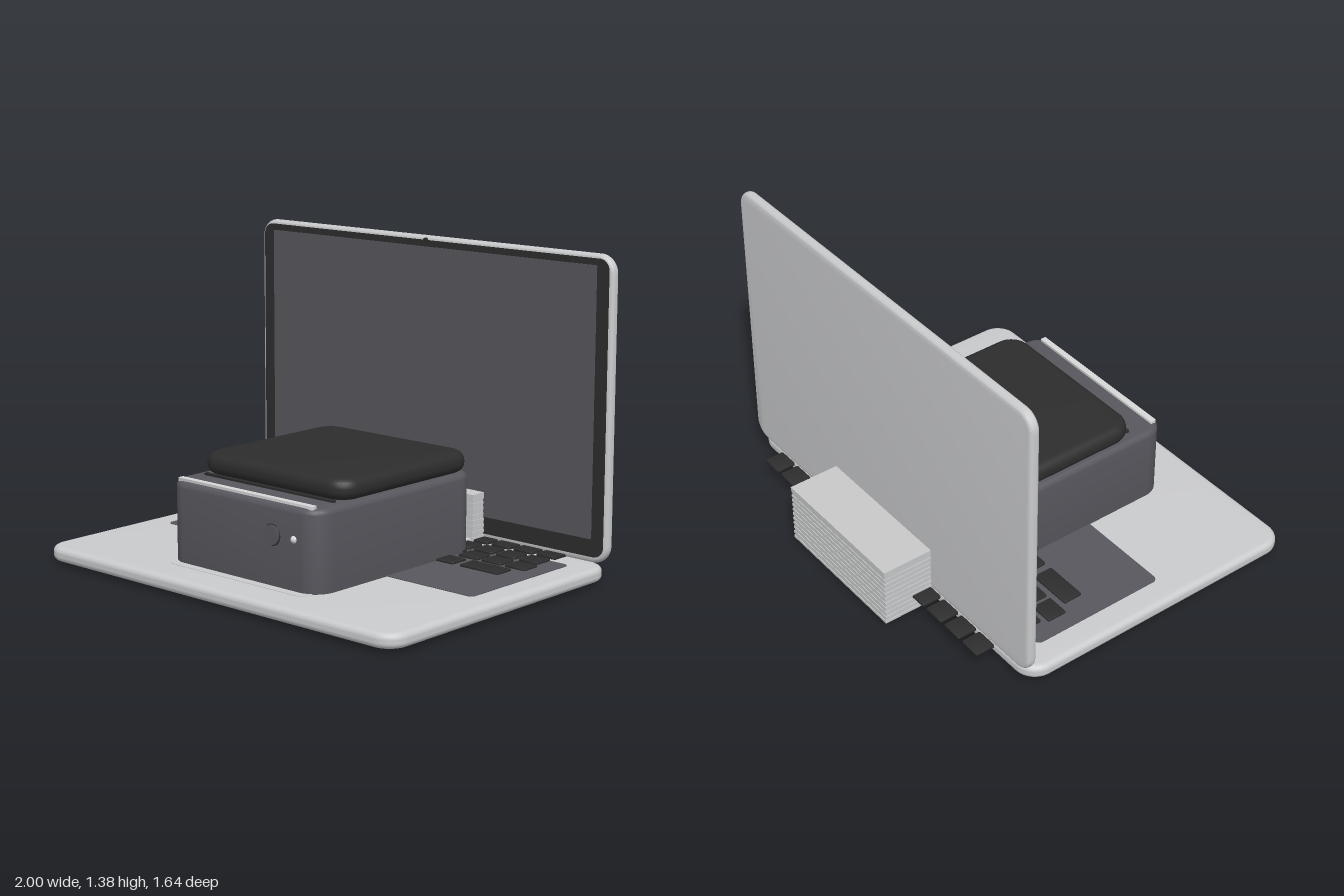
import * as THREE from 'three';
import { toCreasedNormals } from 'three/addons/utils/BufferGeometryUtils.js';

const mat = (name, color) => Object.assign(new THREE.MeshStandardMaterial({ color }), { name });

// Rounded rectangle outline centred on the origin
function roundedRect(w, h, r) {
  const s = new THREE.Shape();
  const x = w / 2, y = h / 2;
  s.absarc(x - r, y - r, r, 0, Math.PI / 2);
  s.absarc(-x + r, y - r, r, Math.PI / 2, Math.PI);
  s.absarc(-x + r, -y + r, r, Math.PI, Math.PI * 1.5);
  s.absarc(x - r, -y + r, r, Math.PI * 1.5, Math.PI * 2);
  s.closePath();
  return s;
}

// Slab of outline w x h and thickness t along z, with softened rims
function slab(w, h, t, r, bevel = 0) {
  const g = new THREE.ExtrudeGeometry(roundedRect(w - 2 * bevel, h - 2 * bevel, Math.max(r - bevel, 0.004)), {
    depth: t - 2 * bevel, curveSegments: 8, bevelEnabled: bevel > 0,
    bevelSize: bevel, bevelThickness: bevel, bevelSegments: 5,
  });
  g.translate(0, 0, bevel - t / 2);
  return toCreasedNormals(g, 0.6);
}

export function createModel() {
  const silver = mat('silver', 0xcacbcd);
  const grey = mat('slate grey', 0x58575e);
  const black = mat('soft black', 0x2d2d2d);
  const paper = mat('paper', 0xc8c9ca);
  const pale = mat('pale metal', 0xd6d7d8);

  const model = new THREE.Group();
  model.name = 'deskSet';
  const group = (name) => {
    const g = new THREE.Group();
    g.name = name;
    model.add(g);
    return g;
  };
  const add = (parent, name, geo, material, x, y, z) => {
    const m = new THREE.Mesh(geo, material);
    m.name = name;
    m.position.set(x, y, z);
    parent.add(m);
    return m;
  };
  // Horizontal slab given by its y range
  const flat = (parent, name, material, w, d, y0, y1, z, r, bevel = 0, x = 0) =>
    add(parent, name, slab(w, d, y1 - y0, r, bevel).rotateX(-Math.PI / 2), material, x, (y0 + y1) / 2, z);

  // Laptop base with keyboard tray, trackpad and feet
  const base = group('laptopBase');
  flat(base, 'baseShell', silver, 2, 1.395, 0.015, 0.078, 0.1225, 0.1, 0.025);
  flat(base, 'keyboardTray', grey, 1.76, 0.64, 0.076, 0.081, -0.12, 0.025);
  flat(base, 'trackpad', silver, 0.78, 0.42, 0.076, 0.08, 0.45, 0.04);
  for (const x of [-0.735, 0.735])
    for (const z of [0.59, -0.35]) {
      if (z < 0) continue;
      add(base, 'baseFoot', new THREE.CylinderGeometry(0.05, 0.055, 0.018, 24), black, x, 0.009, z);
    }

  // Keyboard rows: z centre, half width, key count
  const keys = group('keyboard');
  const key = (x0, x1, z) => flat(keys, 'key', black, x1 - x0, 0.092, 0.077, 0.09, z, 0.008, 0.003, (x0 + x1) / 2);
  for (const [z, half, n] of [[-0.635, 0.785, 13], [-0.515, 0.785, 13], [-0.395, 0.785, 13], [-0.28, 0.805, 13]]) {
    const gap = 0.02, w = (2 * half - gap * (n - 1)) / n;
    for (let i = 0; i < n; i++) {
      const x0 = -half + i * (w + gap);
      key(x0, x0 + w, z);
    }
  }
  for (const s of [-1, 1]) {
    for (const [a, b] of [[0.555, 0.76], [0.425, 0.52]]) key(Math.min(s * a, s * b), Math.max(s * a, s * b), -0.16);
  }
  key(-0.39, 0.39, -0.16);

  // Upright display
  const display = group('laptopDisplay');
  add(display, 'displayShell', slab(2, 1.305, 0.046, 0.08, 0.02), silver, 0, 0.7285, -0.563);
  add(display, 'bezel', slab(1.96, 1.26, 0.006, 0.05), black, 0, 0.733, -0.54);
  add(display, 'screen', slab(1.84, 1.155, 0.004, 0.006), grey, 0, 0.757, -0.536);
  const cam = add(display, 'camera', new THREE.CylinderGeometry(0.011, 0.011, 0.012, 16), black, 0, 1.362, -0.538);
  cam.rotation.x = Math.PI / 2;

  // Desktop device standing on the base
  const device = group('desktopDevice');
  flat(device, 'deviceBody', grey, 0.86, 0.995, 0.03, 0.425, 0.1225, 0.1, 0.025);
  flat(device, 'deviceLid', black, 0.84, 0.82, 0.425, 0.517, 0.04, 0.1, 0.042);
  flat(device, 'lidHinge', black, 0.74, 0.02, 0.42, 0.434, 0.45, 0.004);
  flat(device, 'frontTrim', pale, 0.77, 0.028, 0.421, 0.436, 0.583, 0.004);
  const button = add(device, 'button', new THREE.CylinderGeometry(0.042, 0.042, 0.02, 32), grey, 0.185, 0.293, 0.62);
  button.rotation.x = Math.PI / 2;
  add(device, 'buttonRim', new THREE.TorusGeometry(0.043, 0.003, 8, 32), black, 0.185, 0.293, 0.621);
  add(device, 'indicator', new THREE.SphereGeometry(0.016, 16, 12), pale, 0.305, 0.293, 0.617);

  // Device underside, just proud of the base
  flat(device, 'undersidePlate', black, 0.74, 0.9, 0.01, 0.02, 0.13, 0.05);
  for (const x of [-0.32, 0.32])
    for (const z of [-0.26, 0.52])
      add(device, 'undersideFoot', new THREE.CylinderGeometry(0.03, 0.03, 0.008, 20), black, x, 0.008, z);

  // Paper stack behind the display: thin sheets, every other one slightly inset
  const stack = group('paperStack');
  const sheets = 21, bottom = 0.01, step = (0.275 - bottom) / sheets;
  for (let i = 0; i < sheets; i++) {
    const inset = i % 2 ? 0.003 : 0;
    add(stack, 'sheet', new THREE.BoxGeometry(0.69 - 2 * inset, step, 0.36 - 2 * inset), paper,
      0, bottom + (i + 0.5) * step, -0.64);
  }
  add(stack, 'topSheet', new THREE.BoxGeometry(0.692, 0.015, 0.362), paper, 0, 0.2825, -0.64);
  add(stack, 'looseSheet', new THREE.BoxGeometry(0.67, 0.012, 0.2), pale, 0, 0.088, -0.4);

  return model;
}
